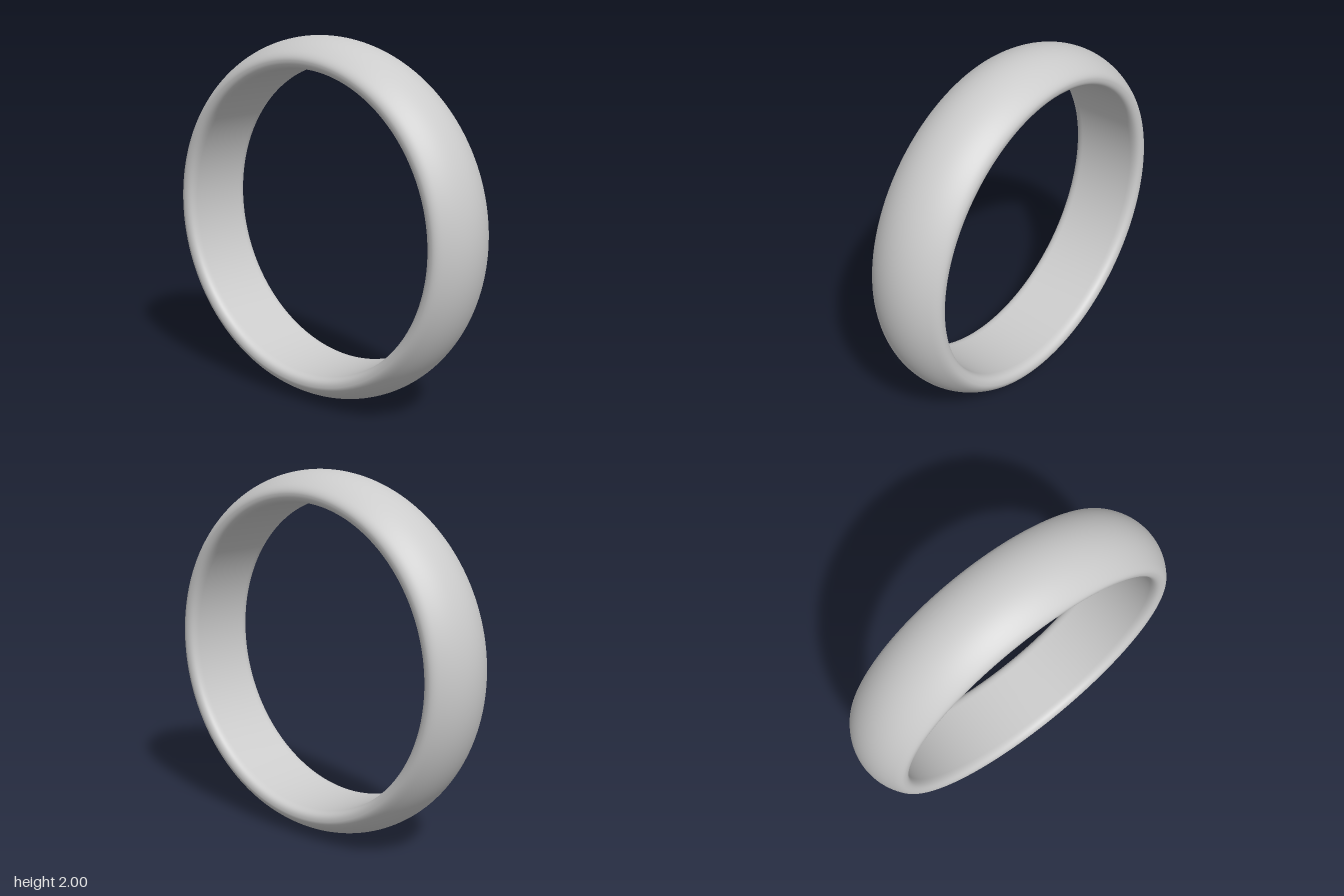
import * as THREE from 'three';

export function createModel() {
  const model = new THREE.Group();
  const inner = 0.838, halfWidth = 0.227, rim = 0.885;
  const domeRadius = 0.32, domeCentre = 1 - domeRadius, a = 0.655;

  // Half of the cross-section: flat bore, rounded rim, domed outside
  const path = new THREE.Path();
  path.moveTo(inner, 0);
  path.lineTo(inner, -0.17);
  path.quadraticCurveTo(inner, -halfWidth, rim, -halfWidth);
  path.quadraticCurveTo(0.909, -halfWidth,
    domeCentre + domeRadius * Math.cos(-a), domeRadius * Math.sin(-a));
  path.absarc(domeCentre, 0, domeRadius, -a, 0, false);
  const half = path.getPoints(12);

  // Mirror it to close the section, then spin it about the z axis
  const mirrored = half.slice(0, -1).reverse().map(p => new THREE.Vector2(p.x, -p.y));
  const geometry = new THREE.LatheGeometry([...half, ...mirrored], 192);
  geometry.rotateX(Math.PI / 2);
  geometry.translate(0, 1, 0);

  const band = new THREE.Mesh(geometry, new THREE.MeshStandardMaterial({ color: 0xcccccc }));
  band.name = 'ringBand';
  model.add(band);
  return model;
}
